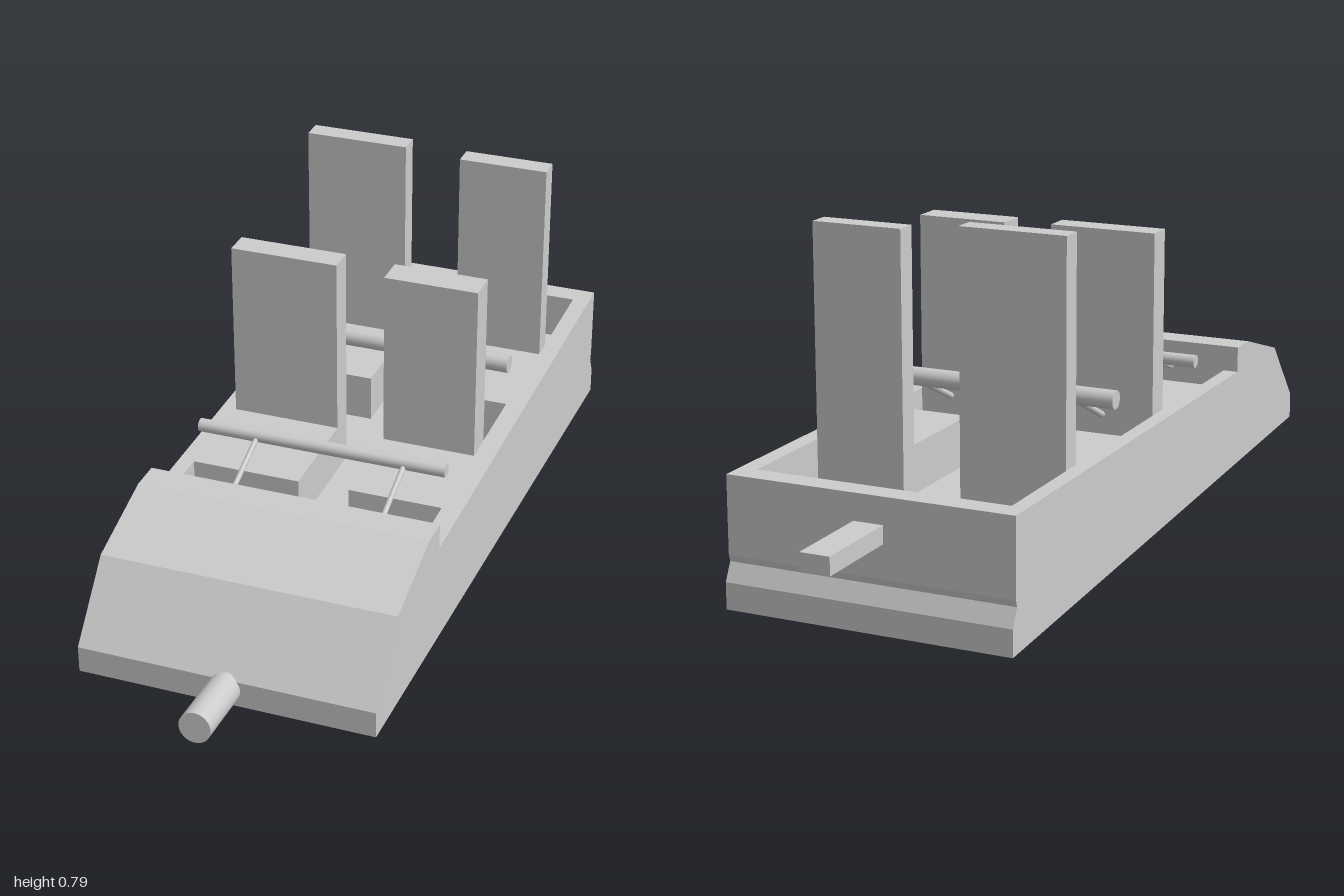
import * as THREE from 'three';

const material = new THREE.MeshStandardMaterial({ color: 0xcccccc });
const HALF = 0.33, DECK = 0.29, FLOOR = 0.18;

function add(group, name, geometry) {
  const mesh = new THREE.Mesh(geometry, material);
  mesh.name = name;
  group.add(mesh);
  return mesh;
}

const shapeOf = (pts) => new THREE.Shape(pts.map(([a, b]) => new THREE.Vector2(a, b)));

// Side profile given as [z, y], extruded across the full width
function crossExtrude(pts) {
  const g = new THREE.ExtrudeGeometry(shapeOf(pts), { depth: HALF * 2, bevelEnabled: false });
  return g.rotateY(-Math.PI / 2).translate(HALF, 0, 0);
}

// Box given by its limits on each axis
function boxBetween(x0, x1, y0, y1, z0, z1) {
  return new THREE.BoxGeometry(x1 - x0, y1 - y0, z1 - z0)
    .translate((x0 + x1) / 2, (y0 + y1) / 2, (z0 + z1) / 2);
}

// Cylinder between two points
function addRod(group, name, a, b, r, sides = 32) {
  const from = new THREE.Vector3(...a), to = new THREE.Vector3(...b);
  const dir = to.clone().sub(from);
  const rod = add(group, name, new THREE.CylinderGeometry(r, r, dir.length(), sides));
  rod.position.copy(from).add(to).multiplyScalar(0.5);
  rod.quaternion.setFromUnitVectors(new THREE.Vector3(0, 1, 0), dir.normalize());
}

export function createModel() {
  const car = new THREE.Group();
  car.name = 'rideCar';

  // Lower hull with sloping underside and a stepped rear lip
  add(car, 'lowerHull', crossExtrude([
    [-0.8, 0], [0.845, 0.08], [0.845, 0.14], [0.81, FLOOR],
    [-0.785, FLOOR], [-0.785, 0.115], [-0.78, 0.1], [-0.8, 0.06],
  ]));

  // Sloped nose
  add(car, 'nose', crossExtrude([
    [0.45, FLOOR], [0.81, FLOOR], [0.715, DECK], [0.52, 0.35], [0.45, 0.35],
  ]));

  // Side walls and seat blocks around the footwells, drawn in plan as [x, z]
  const plan = [
    [-HALF, 0.45], [-HALF, -0.785], [HALF, -0.785], [HALF, 0.45],
    [0.285, 0.45], [0.285, 0.3], [0.07, 0.3], [0.07, 0],
    [0.285, 0], [0.285, -0.175], [0.08, -0.175], [0.08, -0.48],
    [0.29, -0.48], [0.29, -0.73], [-0.295, -0.73], [-0.295, -0.47],
    [-0.05, -0.47], [-0.05, -0.18], [-0.295, -0.18], [-0.295, 0],
    [-0.045, 0], [-0.045, 0.305], [-0.295, 0.305], [-0.295, 0.45],
  ];
  add(car, 'wallsAndSeats', new THREE.ExtrudeGeometry(shapeOf(plan), { depth: DECK - FLOOR, bevelEnabled: false })
    .rotateX(Math.PI / 2).translate(0, DECK, 0));

  // Four upright seat backs
  const backs = [
    ['frontRightSeatBack', -0.295, -0.045, 0.705, 0, 0.06],
    ['frontLeftSeatBack', 0.07, 0.285, 0.7, 0, 0.07],
    ['rearRightSeatBack', -0.295, -0.05, 0.785, -0.47, -0.42],
    ['rearLeftSeatBack', 0.08, 0.29, 0.77, -0.48, -0.43],
  ];
  for (const [name, x0, x1, top, z0, z1] of backs) {
    add(car, name, boxBetween(x0, x1, FLOOR, top, z0, z1));
  }

  // Lap bars, each on two slanted arms
  const bars = [
    { name: 'front', x: [-0.298, 0.28], y: 0.357, z: 0.255, r: 0.015, arms: [-0.16, 0.185], foot: 0.45, t: 0.006 },
    { name: 'rear', x: [-0.295, 0.28], y: 0.378, z: -0.208, r: 0.021, arms: [-0.18, 0.2], foot: -0.02, t: 0.008 },
  ];
  for (const { name, x, y, z, r, arms, foot, t } of bars) {
    addRod(car, name + 'LapBar', [x[0], y, z], [x[1], y, z], r);
    for (const ax of arms) {
      addRod(car, name + 'LapBarArm', [ax, DECK - 0.005, foot], [ax, y, z], t, 12);
    }
  }

  // Couplings: round at the front, flat at the rear
  addRod(car, 'frontCoupling', [0, 0.115, 0.8], [0, 0.128, 0.998], 0.035, 48);
  add(car, 'rearCoupling', boxBetween(-0.035, 0.033, 0.19, 0.23, -1, -0.78));

  return car;
}
